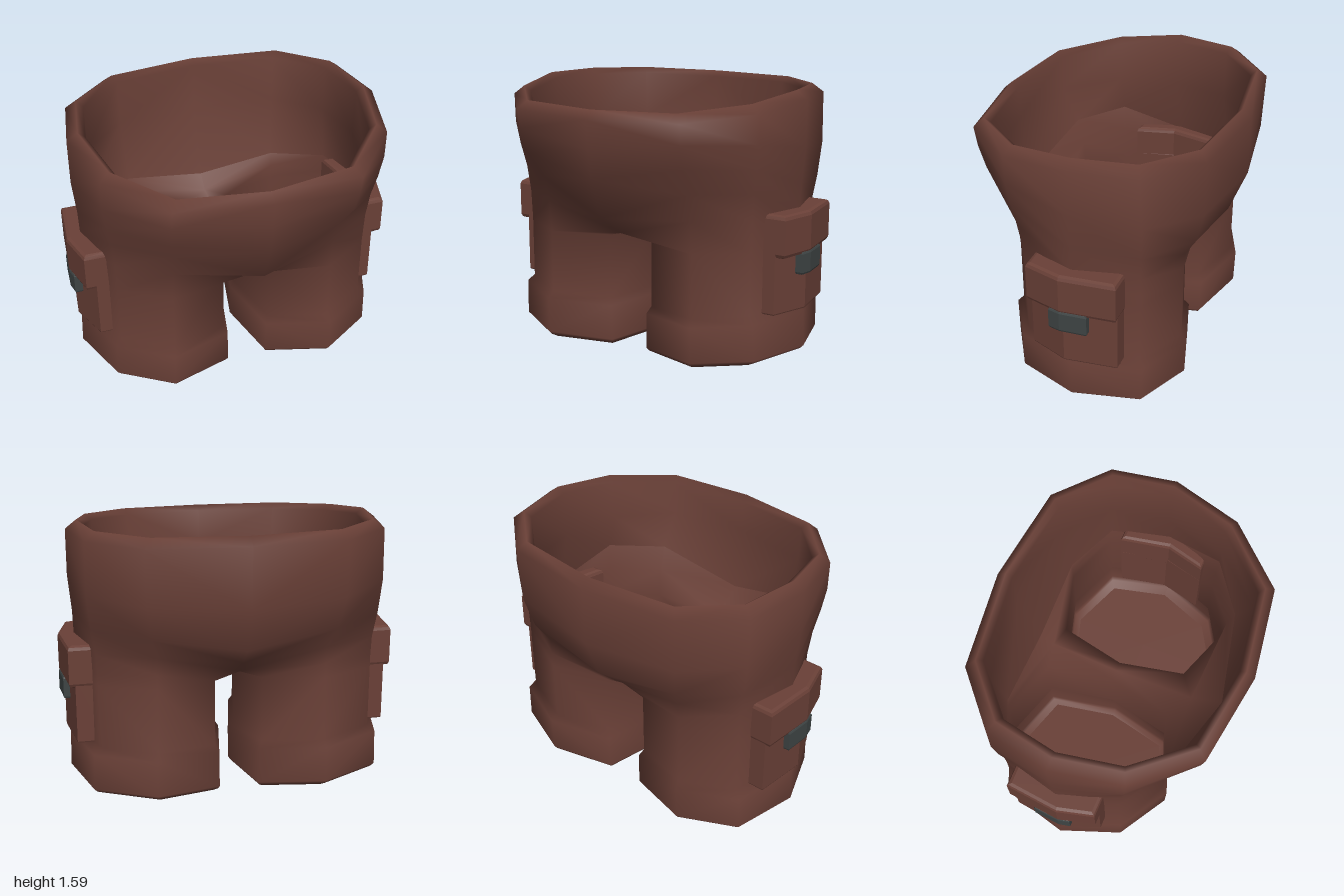
import * as THREE from 'three';
import { mergeVertices, mergeGeometries } from 'three/addons/utils/BufferGeometryUtils.js';

const cloth = new THREE.MeshStandardMaterial({ color: 0x6a4037, side: THREE.DoubleSide });
cloth.name = 'brown cloth';
const metal = new THREE.MeshStandardMaterial({ color: 0x3e4444 });
metal.name = 'grey buckle';

// Joins successive rings of [x, y, z] points; 8-point pairs are closed loops, 7-point ones open half loops.
function loft(rings, flip = false) {
  const s = flip ? -1 : 1;
  const pos = [];
  const tri = (a, b, c) => {
    for (const p of flip ? [a, c, b] : [a, b, c]) pos.push(p[0] * s, p[1], p[2]);
  };
  for (let r = 0; r < rings.length - 1; r++) {
    const u = rings[r], l = rings[r + 1];
    const closed = u.length === 8 && l.length === 8;
    for (let i = 0; i < (closed ? 8 : 6); i++) {
      const j = (i + 1) % 8;
      tri(u[i], l[i], l[j]);
      tri(u[i], l[j], u[j]);
    }
  }
  const g = new THREE.BufferGeometry();
  g.setAttribute('position', new THREE.Float32BufferAttribute(pos, 3));
  return g;
}

function smooth(g) {
  const m = mergeVertices(g, 1e-4);
  m.computeVertexNormals();
  return m;
}

// Plan outlines [x, z] of one half, from front centre round the outside to back centre
const waist = [[0, 0.77], [0.54, 0.69], [0.84, 0.35], [0.93, -0.06], [0.86, -0.44], [0.57, -0.7], [0, -0.77]];
const leg = [[0.145, 0.335], [0.49, 0.46], [0.775, 0.285], [0.9, -0.06], [0.81, -0.43], [0.49, -0.565], [0.14, -0.46], [0.06, -0.06]];

// The rim dips towards the front
const rimY = (z) => 1.6 - Math.max(0, z + 0.06) * 0.1;
const rimRing = (k, drop) => waist.map(([x, z]) => [x * k, rimY(z) - drop, z * k]);

// Leg section scaled about the leg axis, rising slightly outwards
const legRing = (kx, kz, y, tilt = 0.055) => leg.map(([x, z]) => {
  const px = 0.36 + (x - 0.36) * kx;
  return [px, y + px * tilt, -0.06 + (z + 0.06) * kz];
});

// Belly hangs lowest at the centre and sweeps up towards the sides
const hips = [
  [[0, 1.3, 0.75], [0.54, 1.36, 0.67], [0.84, 1.34, 0.345], [0.93, 1.28, -0.06], [0.86, 1.25, -0.45], [0.56, 1.22, -0.69], [0, 1.2, -0.77]],
  [[0, 1.13, 0.73], [0.53, 1.22, 0.63], [0.82, 1.2, 0.33], [0.91, 1.07, -0.06], [0.84, 1.05, -0.44], [0.53, 1.03, -0.645], [0, 0.94, -0.67]],
  [[0, 0.89, 0.64], [0.5, 1.06, 0.52], [0.795, 1.06, 0.305], [0.905, 0.92, -0.06], [0.815, 0.9, -0.43], [0.49, 0.9, -0.57], [0, 0.84, -0.57]],
];
const crotch = [[0, 0.76, 0.44], [0.49, 0.9, 0.475], [0.78, 0.9, 0.29], [0.9, 0.78, -0.06], [0.81, 0.78, -0.43], [0.49, 0.8, -0.565], [0, 0.76, -0.48], [0, 0.72, -0.06]];

// Plate that wraps the outside of the leg: outer and inner edge points [x, z]
function wrapPlate(outer, inner, y0, y1, bevel) {
  const s = new THREE.Shape([...outer, ...inner].map(([x, z]) => new THREE.Vector2(x, -z)));
  const g = new THREE.ExtrudeGeometry(s, {
    depth: y1 - y0 - 2 * bevel, bevelEnabled: true, bevelThickness: bevel,
    bevelSize: bevel, bevelOffset: -bevel, bevelSegments: 2,
  });
  g.rotateX(-Math.PI / 2);
  g.translate(0, y0 + bevel, 0);
  return g;
}

// Mirrored copy across x = 0 with its triangle winding restored
function mirror(g) {
  const m = g.clone().scale(-1, 1, 1);
  const p = m.attributes.position;
  for (let i = 0; i < p.count; i += 3) {
    const v = [p.getX(i + 1), p.getY(i + 1), p.getZ(i + 1)];
    p.setXYZ(i + 1, p.getX(i + 2), p.getY(i + 2), p.getZ(i + 2));
    p.setXYZ(i + 2, ...v);
  }
  m.computeVertexNormals();
  return m;
}

export function createModel() {
  const group = new THREE.Group();
  const add = (geometry, material, name, parent = group) => {
    const m = new THREE.Mesh(geometry, material);
    m.name = name;
    parent.add(m);
  };

  // Shorts: waistband lining, rolled rim, hips, legs and bulging cuffs in one smooth shell
  const liningEnd = hips[2].map(([x, y, z]) => [x * 0.985, y, z * 0.985]);
  const liningWall = waist.map(([x, z]) => [x * 0.88, 1.28, z * 0.88]);
  const shell = [
    liningEnd, liningWall, rimRing(0.885, 0.035), rimRing(0.93, 0), rimRing(1, 0.05),
    ...hips, crotch, legRing(1, 1, 0.705, 0.01), legRing(1, 1, 0.3),
    legRing(1.085, 1.07, 0.26), legRing(1.1, 1.06, 0.045), legRing(1.06, 1.03, 0.025), legRing(0.96, 0.95, 0.002),
  ];
  add(smooth(mergeGeometries([loft(shell), loft(shell, true)])), cloth, 'shorts');

  // Flat soles closing the legs
  const bottom = legRing(0.96, 0.95, 0.002);
  const mid = bottom.map(() => [0.48, 0.002 + 0.48 * 0.055, -0.06]);
  add(smooth(loft([bottom, mid])), cloth, 'leftLegBottom');
  add(smooth(loft([bottom, mid], true)), cloth, 'rightLegBottom');

  // Cargo pockets: body, overhanging flap and buckle
  const body = wrapPlate([[0.88, 0.2], [0.968, -0.03], [0.93, -0.34]], [[0.76, -0.34], [0.82, -0.05], [0.76, 0.2]], 0.34, 0.75, 0.01);
  const flap = wrapPlate([[0.94, 0.2], [0.998, -0.02], [0.965, -0.345]], [[0.76, -0.345], [0.82, -0.04], [0.76, 0.2]], 0.68, 0.93, 0.025);
  const buckle = wrapPlate([[0.985, 0.05], [1, -0.02], [0.987, -0.18]], [[0.92, -0.18], [0.945, -0.04], [0.92, 0.05]], 0.56, 0.7, 0.015);
  for (const side of ['left', 'right']) {
    const fit = (g) => (side === 'left' ? g : mirror(g));
    const pocket = new THREE.Group();
    pocket.name = side + 'Pocket';
    add(fit(body), cloth, 'pocketBody', pocket);
    add(fit(flap), cloth, 'pocketFlap', pocket);
    add(fit(buckle), metal, 'pocketBuckle', pocket);
    group.add(pocket);
  }
  return group;
}
